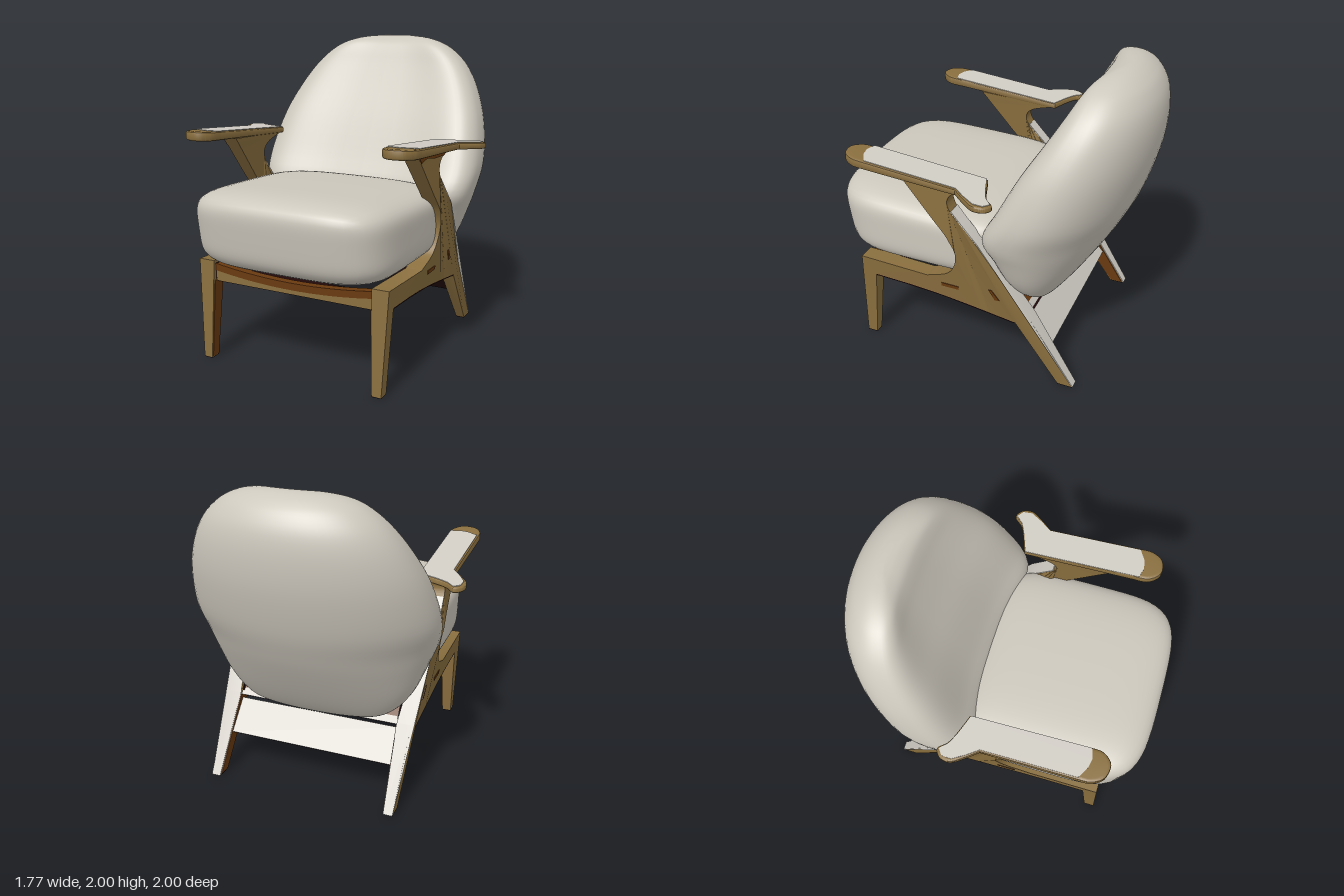
import * as THREE from 'three';
import { mergeVertices, toCreasedNormals } from 'three/addons/utils/BufferGeometryUtils.js';

const mat = (name, color) => Object.assign(new THREE.MeshStandardMaterial({ color }), { name });
const V2 = (pts) => pts.map(([a, b]) => new THREE.Vector2(a, b));
const poly = (...pts) => new THREE.Shape(V2(pts));

// Piecewise linear lookup in rows [key, a, b]
function lookup(rows, k) {
  let i = 0;
  while (i < rows.length - 2 && k > rows[i + 1][0]) i++;
  const [p, q] = [rows[i], rows[i + 1]];
  const t = THREE.MathUtils.clamp((k - p[0]) / (q[0] - p[0]), 0, 1);
  return p.map((v, j) => v + (q[j] - v) * t);
}

// Extrudes a shape, maps (u, v, t) to model space and mirrors it to side s.
// Groups: 0 = sides and outer lid, 1 = first lid (inside or underside)
function warped(shape, opts, fn, s) {
  const g = new THREE.ExtrudeGeometry(shape, { depth: 1, bevelEnabled: false, curveSegments: 20, ...opts });
  const lid = g.groups[0].count / 2, p = g.attributes.position, pts = [];
  for (let i = 0; i < p.count; i++) {
    const [x, y, z] = fn(p.getX(i), p.getY(i), p.getZ(i));
    pts.push([s * x, y, z]);
  }
  // the axis swap reverses the corners on the +x side
  if (s > 0) for (let i = 0; i < pts.length; i += 3) [pts[i + 1], pts[i + 2]] = [pts[i + 2], pts[i + 1]];
  const out = new THREE.BufferGeometry();
  out.setAttribute('position', new THREE.Float32BufferAttribute(pts.flat(), 3));
  out.addGroup(0, lid, 1);
  out.addGroup(lid, p.count - lid, 0);
  return toCreasedNormals(out, 0.6);
}

// Side frame: [height, centre x, half thickness]
const LEAN = [[0, 0.6, 0.03], [0.5, 0.598, 0.048], [0.65, 0.605, 0.055], [0.95, 0.657, 0.043], [1.4, 0.63, 0.05]];
const frameMap = (z, y, t) => {
  const [, c, h] = lookup(LEAN, y);
  return [c + (t * 2 - 1) * h, y, z];
};
// Thin plates on the outer (dir 1) or inner (dir -1) face of the frame
const plateMap = (dir) => (z, y, t) => {
  const [, c, h] = lookup(LEAN, y);
  return [c + dir * h + (dir > 0 ? t : t - 1) * 0.005, y, z];
};
function frameShape() {
  const s = new THREE.Shape();
  s.moveTo(0.81, 0.004);
  s.lineTo(0.78, 0.65);
  s.lineTo(0.3, 0.63);
  s.splineThru(V2([[0.14, 0.7], [0.08, 0.84], [0.12, 0.97], [0.245, 1.12], [0.46, 1.375]]));
  s.lineTo(-0.08, 1.345);
  s.splineThru(V2([[0.07, 1.3], [0.12, 1.24], [0.1, 1.17], [0.03, 1.09]]));
  s.lineTo(-0.07, 0.98);
  s.lineTo(-0.39, 0.48);
  s.lineTo(-0.69, 0.004);
  s.lineTo(-0.59, 0.004);
  s.lineTo(-0.3, 0.42);
  s.splineThru(V2([[0.2, 0.49], [0.69, 0.52]]));
  s.lineTo(0.74, 0.004);
  return s;
}

// Armrest outline in (x, z), with a flared paddle at the rear
function armShape() {
  const s = new THREE.Shape();
  s.moveTo(0.575, 0.62);
  s.splineThru(V2([[0.58, 0.72], [0.64, 0.785], [0.73, 0.77], [0.775, 0.7], [0.78, 0.62]]));
  s.lineTo(0.775, 0.02);
  s.splineThru(V2([[0.83, -0.05], [0.88, -0.13], [0.87, -0.2], [0.82, -0.23], [0.77, -0.18], [0.7, -0.145], [0.575, -0.1]]));
  return s;
}
const armTop = (z) => 1.387 + 0.093 * z;
const armBottom = (z) => 1.33 + 0.07 * (z + 0.2);

// Rounded box cushion: a grid box pushed onto a superellipsoid
function seatGeometry() {
  let g = new THREE.BoxGeometry(2, 2, 2, 24, 24, 24);
  g.deleteAttribute('normal');
  g.deleteAttribute('uv');
  g = mergeVertices(g, 1e-4);
  const p = g.attributes.position, n = 4.8;
  for (let i = 0; i < p.count; i++) {
    const a = [p.getX(i), p.getY(i), p.getZ(i)].map((v) => Math.tan(v * Math.PI / 4));
    const r = Math.pow(a.reduce((m, v) => m + Math.abs(v) ** n, 0), -1 / n);
    const [x, y, z] = a.map((v) => v * r);
    const crown = Math.max(y, 0) * (0.03 * (z - 0.6) - 0.015 * x * x);
    p.setXYZ(i, x * 0.66 * (1 - 0.01 * Math.max(z, 0)), 0.89 + y * 0.257 + crown,
      0.37 + z * 0.6 + Math.max(z, 0) * (0.045 * y - 0.02 * x * x + 0.02));
  }
  g.computeVertexNormals();
  return g;
}

// Backrest: horizontal D-shaped loops [y, half width, front z, back z]
const BACK = [
  [0.49, 0.25, -0.37, -0.42], [0.505, 0.42, -0.33, -0.48], [0.57, 0.54, -0.24, -0.54], [0.7, 0.64, -0.145, -0.63],
  [0.88, 0.715, -0.05, -0.74], [1.02, 0.765, 0.02, -0.815], [1.2, 0.785, -0.075, -0.895], [1.45, 0.74, -0.215, -0.965],
  [1.65, 0.66, -0.352, -0.988], [1.8, 0.565, -0.455, -0.975], [1.9, 0.46, -0.525, -0.93], [1.955, 0.36, -0.583, -0.875],
  [1.987, 0.24, -0.66, -0.82], [2, 0.1, -0.73, -0.775],
];
function backGeometry() {
  const curve = (k) => new THREE.CatmullRomCurve3(BACK.map((r) => new THREE.Vector3(r[0], r[1], r[k])), false, 'catmullrom');
  const [fc, bc] = [curve(2), curve(3)], rows = 52, cols = 64, pos = [], idx = [];
  for (let j = 0; j <= rows; j++) {
    const f = fc.getPoint(j / rows), zb = bc.getPoint(j / rows).z;
    const zc = f.z + (zb - f.z) * 0.38, hollow = 0.19 * (f.z - zb);
    for (let i = 0; i < cols; i++) {
      const a = i / cols * Math.PI * 2, c = Math.cos(a), s = Math.sin(a), e = s > 0 ? 2 / 3 : 1;
      const x = Math.sign(c) * Math.abs(c) ** e, d = Math.abs(s) ** e;
      const z = s > 0 ? zc + (f.z - zc) * d - hollow * s ** 4 : zc + (zb - zc) * d;
      pos.push(f.y * x, f.x, z);
      if (j < rows) {
        const A = j * cols + i, B = j * cols + (i + 1) % cols;
        idx.push(A, A + cols, B, B, A + cols, B + cols);
      }
    }
  }
  // close both ends with a centre point
  for (const [j, up] of [[0, false], [rows, true]]) {
    const c = pos.length / 3, r = BACK[up ? BACK.length - 1 : 0], o = j * cols;
    pos.push(0, r[0], (r[2] + r[3]) / 2);
    for (let i = 0; i < cols; i++) {
      const A = o + i, B = o + (i + 1) % cols;
      idx.push(c, up ? B : A, up ? A : B);
    }
  }
  const g = new THREE.BufferGeometry();
  g.setAttribute('position', new THREE.Float32BufferAttribute(pos, 3));
  g.setIndex(idx);
  g.computeVertexNormals();
  return g;
}

export function createModel() {
  const fabric = mat('cushion fabric', 0xcdc8bd), pale = mat('pale wood top', 0xd2cec6);
  const wood = mat('wood', 0x8a6f3f), red = mat('red brown wood', 0x6a3a10), dark = mat('dark underside', 0x220809);
  const model = new THREE.Group();
  const add = (name, geo, material, parent = model) => {
    const m = new THREE.Mesh(geo, material);
    m.name = name;
    parent.add(m);
    return m;
  };

  add('seatCushion', seatGeometry(), fabric);
  add('backCushion', backGeometry(), fabric);

  // Painted faces of the side frame: [name, shape, map, material]
  const plates = [
    ['rearLegFace', poly([-0.69, 0.004], [-0.39, 0.48], [-0.07, 0.98], [0.03, 1.09], [0.1, 1.168], [0.095, 1.173], [0.026, 1.095], [-0.076, 0.984], [-0.396, 0.484], [-0.696, 0.004]), frameMap, pale],
    ['railUnderside', poly([-0.3, 0.421], [-0.05, 0.461], [0.2, 0.492], [0.45, 0.511], [0.69, 0.521], [0.69, 0.513], [0.45, 0.503], [0.2, 0.484], [-0.05, 0.45], [-0.295, 0.413]), frameMap, dark],
    ['frontFoot', poly([0.74, 0], [0.81, 0], [0.81, 0.004], [0.74, 0.004]), frameMap, dark],
    ['rearFoot', poly([-0.69, 0], [-0.59, 0], [-0.59, 0.004], [-0.69, 0.004]), frameMap, dark],
    ['jointMark', poly([0.08, 0.575], [0.2, 0.575], [0.2, 0.6], [0.08, 0.6]), plateMap(1), red],
    ['rearJointMark', poly([-0.13, 0.64], [-0.15, 0.64], [-0.2, 0.57], [-0.17, 0.565]), plateMap(1), red],
    ['supportShade', poly([0.455, 1.372], [0.41, 1.318], [0.32, 1.335], [0.2, 1.315], [0.055, 1.31], [-0.06, 1.345]), plateMap(1), red],
    ['frontLegInside', poly([0.745, 0.01], [0.805, 0.01], [0.78, 0.52], [0.695, 0.52]), plateMap(-1), red],
    ['rearLegInside', poly([-0.68, 0.01], [-0.595, 0.01], [-0.305, 0.425], [-0.395, 0.47]), plateMap(-1), red],
    ['railInside', poly([-0.37, 0.5], [-0.3, 0.425], [0.2, 0.495], [0.69, 0.525], [0.76, 0.525], [0.76, 0.63], [0.3, 0.62], [-0.29, 0.62]), plateMap(-1), dark],
  ];

  // Mirrored side frames and armrests
  for (const [s, side] of [[1, 'left'], [-1, 'right']]) {
    const g = new THREE.Group();
    g.name = side + 'Side';
    model.add(g);
    add('sideFrame', warped(frameShape(), {}, frameMap, s), [wood, wood], g);
    for (const [name, shape, map, m] of plates) add(name, warped(shape, {}, map, s), [m, m], g);

    const bevel = { depth: 0.6, bevelEnabled: true, bevelThickness: 0.2, bevelSize: 0.02, bevelOffset: -0.02, bevelSegments: 3 };
    add('armrest', warped(armShape(), bevel,
      (x, z, t) => [x, THREE.MathUtils.lerp(armBottom(z), armTop(z), t + 0.2), z], s), [wood, red], g);
    const top = poly([0.577, 0.655], [0.64, 0.672], [0.7, 0.66], [0.768, 0.62], [0.764, 0.02], [0.815, -0.05], [0.862, -0.13],
      [0.858, -0.19], [0.82, -0.22], [0.772, -0.173], [0.7, -0.138], [0.577, -0.093]);
    add('armrestTop', warped(top, {}, (x, z, t) => [x, armTop(z) + t * 0.004, z], s), [pale, pale], g);
  }

  // Front rail with a dished top, shaded along its upper edge
  const railShape = (y0, y1, c0, c1) => {
    const r = new THREE.Shape();
    r.moveTo(-0.56, y0);
    r.quadraticCurveTo(0, c0, 0.56, y0);
    r.lineTo(0.56, y1);
    r.quadraticCurveTo(0, c1, -0.56, y1);
    return r;
  };
  const railGeo = (shape, depth) => new THREE.ExtrudeGeometry(shape, { depth, bevelEnabled: false, curveSegments: 20 });
  add('frontRail', railGeo(railShape(0.515, 0.63, 0.515, 0.545), 0.05).translate(0, 0, 0.71), [wood, red]);
  add('railShade', railGeo(railShape(0.585, 0.63, 0.5, 0.545), 0.004).translate(0, 0, 0.76), red);

  // Seat slats and the lining behind the front rail
  for (const [name, z, y, h, d] of [['seatSlat', 0.13, 0.59, 0.06, 0.19], ['seatSlat', -0.13, 0.57, 0.06, 0.28], ['frontLining', 0.665, 0.53, 0.038, 0.18]])
    add(name, new THREE.BoxGeometry(1.12, h, d), dark).position.set(0, y, z);

  // Rear boards between the back legs: [name, y, z, height, tilt, back colour]
  for (const [name, y, z, h, tilt, back] of [
    ['rearBoard', 0.335, -0.435, 0.24, 0.68, pale],
    ['upperRearStrip', 0.468, -0.34, 0.05, 0.62, pale],
    ['upperRearSupport', 0.525, -0.3, 0.09, 0.62, red],
  ]) {
    const b = add(name, new THREE.BoxGeometry(1.12, h, 0.03), [dark, dark, dark, dark, dark, back]);
    b.position.set(0, y, z);
    b.rotation.x = tilt;
  }
  add('backSupport', new THREE.BoxGeometry(1.12, 0.16, 0.04), dark).position.set(0, 0.56, -0.24);

  return model;
}
